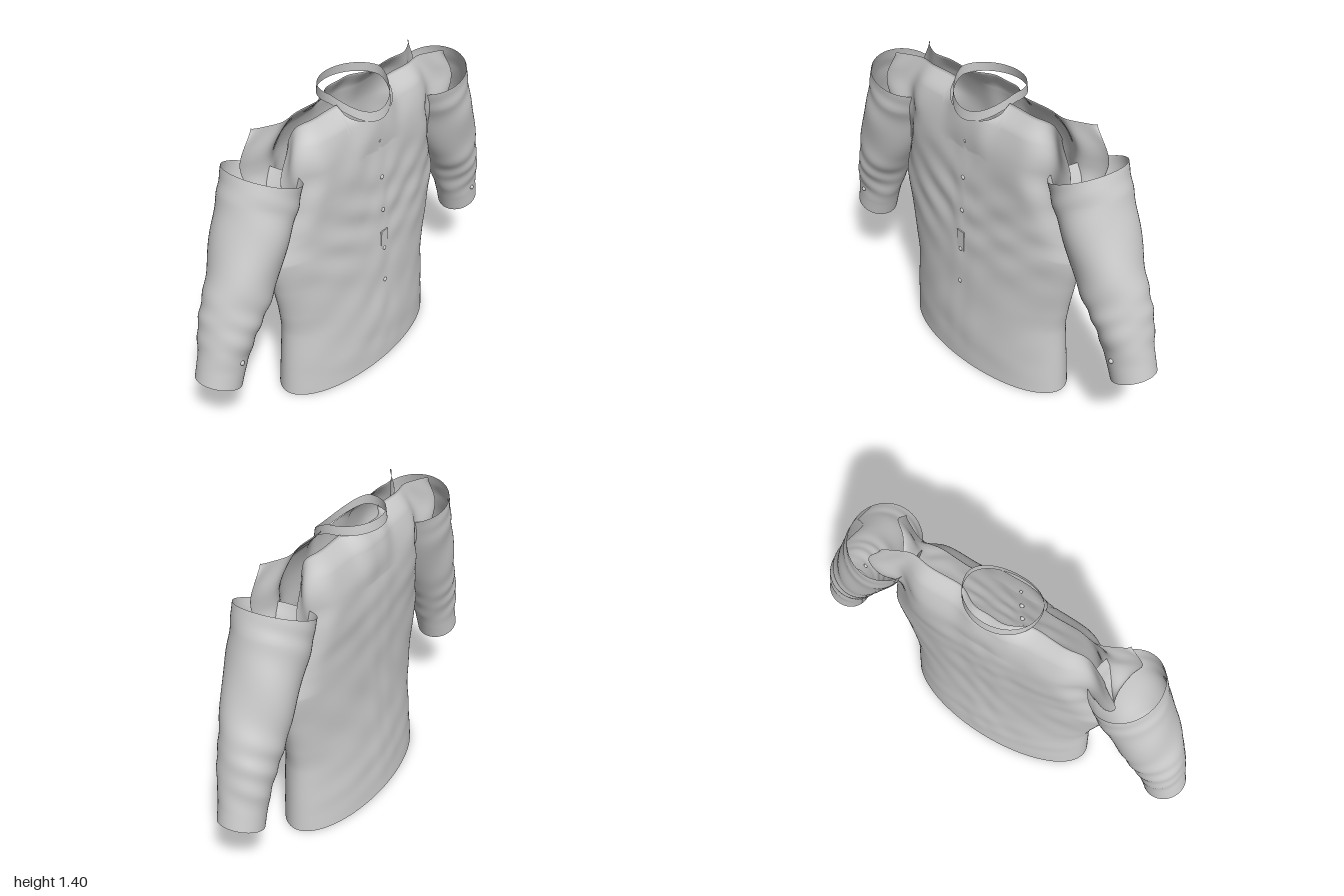
import * as THREE from 'three';
import { ParametricGeometry } from 'three/addons/geometries/ParametricGeometry.js';

// Smooth monotone interpolation through [t, value] keys
function ramp(keys, t) {
  const last = keys.length - 1;
  if (t <= keys[0][0]) return keys[0][1];
  if (t >= keys[last][0]) return keys[last][1];
  const secant = (i) => {
    const j = Math.max(0, Math.min(last - 1, i));
    return (keys[j + 1][1] - keys[j][1]) / (keys[j + 1][0] - keys[j][0]);
  };
  const slope = (i) => {
    const a = secant(i - 1), b = secant(i);
    return a * b > 0 ? 2 * a * b / (a + b) : 0;
  };
  let i = 0;
  while (t > keys[i + 1][0]) i++;
  const [a, va] = keys[i], [b, vb] = keys[i + 1];
  const h = b - a, p = (t - a) / h, q = 1 - p;
  return va * q * q * (1 + 2 * p) + vb * p * p * (1 + 2 * q) + h * p * q * (slope(i) * q - slope(i + 1) * p);
}

// Torso outline by height: half width, centre depth, depth at the side edge,
// crease beside the armhole (amount and place) and swelling around the neck
const HALF_WIDTH = [[0, 0.495], [0.15, 0.488], [0.33, 0.481], [0.45, 0.498], [0.6, 0.533], [0.78, 0.572],
  [0.9, 0.562], [1.0, 0.555], [1.1, 0.57], [1.22, 0.597], [1.36, 0.53]];
const FRONT = [[0, 0.205], [0.2, 0.201], [0.4, 0.187], [0.6, 0.176], [0.8, 0.163], [1.0, 0.152],
  [1.16, 0.138], [1.28, 0.107], [1.36, 0.035]];
const BACK = [[0, 0.205], [0.2, 0.187], [0.4, 0.167], [0.6, 0.156], [0.8, 0.155], [1.0, 0.156],
  [1.16, 0.142], [1.28, 0.105], [1.36, 0.035]];
const ARMHOLE = [[0, 0], [0.8, 0], [0.9, 0.02], [1.0, 0.06], [1.08, 0.09], [1.2, 0.11], [1.36, 0.1]];
const CREASE = [[0.76, 0], [0.9, 0.03], [1.0, 0.052], [1.16, 0.052], [1.28, 0.05], [1.36, 0.025]];
const CREASE_PLACE = [[0.85, 0.96], [1.0, 0.9], [1.16, 0.78], [1.36, 0.78]];
const NECK_SWELL = [[1.12, 0], [1.27, 0.024], [1.36, 0.058]];
const SHOULDER = 1.365, NECK = 0.17, NECK_DROP = 0.095;

// Soft cloth wrinkles
function rumple(x, y) {
  return 0.0025 * Math.sin(17 * x + 9 * y + 2 * Math.sin(7 * y)) * Math.sin(23 * y - 6 * x)
    + 0.0012 * Math.sin(31 * x - 14 * y + 1.5 * Math.sin(11 * x)) * Math.sin(13 * y + 5 * x);
}

// Diagonal folds that meet in a V along the buttons
function chestFolds(x, y) {
  const mask = Math.exp(-(((y - 0.82) / 0.2) ** 2)) * Math.min(1, Math.abs(x) / 0.06);
  return 0.0035 * mask * Math.sin(34 * (y - 0.68 * Math.abs(x)));
}

function panelPoint(side, k, v, target) {
  const s = Math.sin(k * Math.PI / 2);
  const cut = side > 0 ? Math.sqrt(Math.max(0, 1 - (0.53 * s / NECK) ** 2)) : 0;
  const y = v * (SHOULDER - NECK_DROP * cut);
  const x = s * ramp(HALF_WIDTH, y);
  const edge = ramp(ARMHOLE, y), centre = ramp(side > 0 ? FRONT : BACK, y);
  const round = Math.cos(k * Math.PI / 2);
  const crease = ramp(CREASE, y) * Math.exp(-(((Math.abs(s) - ramp(CREASE_PLACE, y)) / 0.13) ** 2));
  const swell = ramp(NECK_SWELL, y) * Math.exp(-((x / 0.13) ** 4));
  const fold = (rumple(x, y + side) + (side > 0 ? chestFolds(x, y) : 0)) * round * Math.min(1, y / 0.15);
  return target.set(x, y, side * Math.max(0, edge + (centre - edge) * round - crease + swell + fold));
}

export function createModel() {
  const group = new THREE.Group();
  const cloth = new THREE.MeshStandardMaterial({ color: 0xcccccc, side: THREE.DoubleSide });
  cloth.name = 'light grey cloth';
  const add = (name, geometry) => {
    const mesh = new THREE.Mesh(geometry, cloth);
    mesh.name = name;
    group.add(mesh);
    return mesh;
  };

  // Front and back panels, joined at the side seams and open at armholes and shoulders
  for (const side of [1, -1]) {
    add(side > 0 ? 'frontPanel' : 'backPanel', new ParametricGeometry(
      (u, v, target) => panelPoint(side, side * (2 * u - 1), v, target), 96, 110));
  }

  // Collar band: level at the back, dipping at the front
  add('collar', new ParametricGeometry((u, v, target) => {
    const t = u * Math.PI * 2;
    const dip = Math.max(0, Math.cos(t)) ** 1.5;
    target.set(NECK * Math.sin(t), 1.36 - 0.097 * dip + 0.043 * v, (0.15 - 0.008 * v) * Math.cos(t));
  }, 64, 3));

  // Sleeves: tilted tubes, wide at the shoulder and narrow at the cuff
  // Each section: t, centre x, centre y, radius across, radius in z, centre z
  const sections = [[0, 0.585, 1.22, 0.157, 0.172, 0], [0.16, 0.632, 1.09, 0.154, 0.168, 0],
    [0.42, 0.732, 0.84, 0.143, 0.15, 0.004], [0.7, 0.828, 0.62, 0.123, 0.125, -0.002],
    [0.9, 0.883, 0.445, 0.105, 0.102, -0.006], [1, 0.905, 0.37, 0.101, 0.1, -0.008]];
  const [cx, cy, wide, deep, cz] = [1, 2, 3, 4, 5].map((i) => sections.map((row) => [row[0], row[i]]));
  for (const side of [1, -1]) {
    add(side > 0 ? 'leftSleeve' : 'rightSleeve', new ParametricGeometry((u, v, target) => {
      const t = u * Math.PI * 2 * side;
      const calm = Math.min(1, v / 0.12) * Math.max(0, Math.min(1, (0.9 - v) / 0.1));
      const fold = calm * (0.003 * Math.sin(38 * v + 2 * Math.cos(t) + 2 * Math.sin(9 * v)) * Math.cos(t + 1.2)
        + 0.0025 * Math.sin(3 * t + 14 * v));
      const w = (ramp(wide, v) + fold) * Math.cos(t);
      target.set(side * (ramp(cx, v) + 0.925 * w), ramp(cy, v) + 0.38 * w,
        ramp(cz, v) + (ramp(deep, v) + fold) * Math.sin(t));
    }, 56, 60));
  }

  // Front buttons sunk into the panel surface, the top one smaller
  const bead = new THREE.SphereGeometry(0.011, 12, 8);
  const spot = new THREE.Vector3();
  for (const y of [0.44, 0.615, 0.815, 0.98, 1.155]) {
    panelPoint(1, 0, y / (SHOULDER - NECK_DROP), spot);
    const button = add('frontButton', bead);
    button.position.set(0, y, spot.z - 0.003);
    button.scale.setScalar(y > 1.1 ? 0.65 : 1);
  }

  // Small placket flap above one button
  panelPoint(1, 0, 0.66 / (SHOULDER - NECK_DROP), spot);
  add('placketFlap', new THREE.BoxGeometry(0.045, 0.1, 0.006)).position.copy(spot);

  // Cuff buttons
  for (const side of [1, -1]) {
    add('cuffButton', bead).position.set(side * 0.868, side > 0 ? 0.475 : 0.495, 0.099);
  }
  return group;
}
